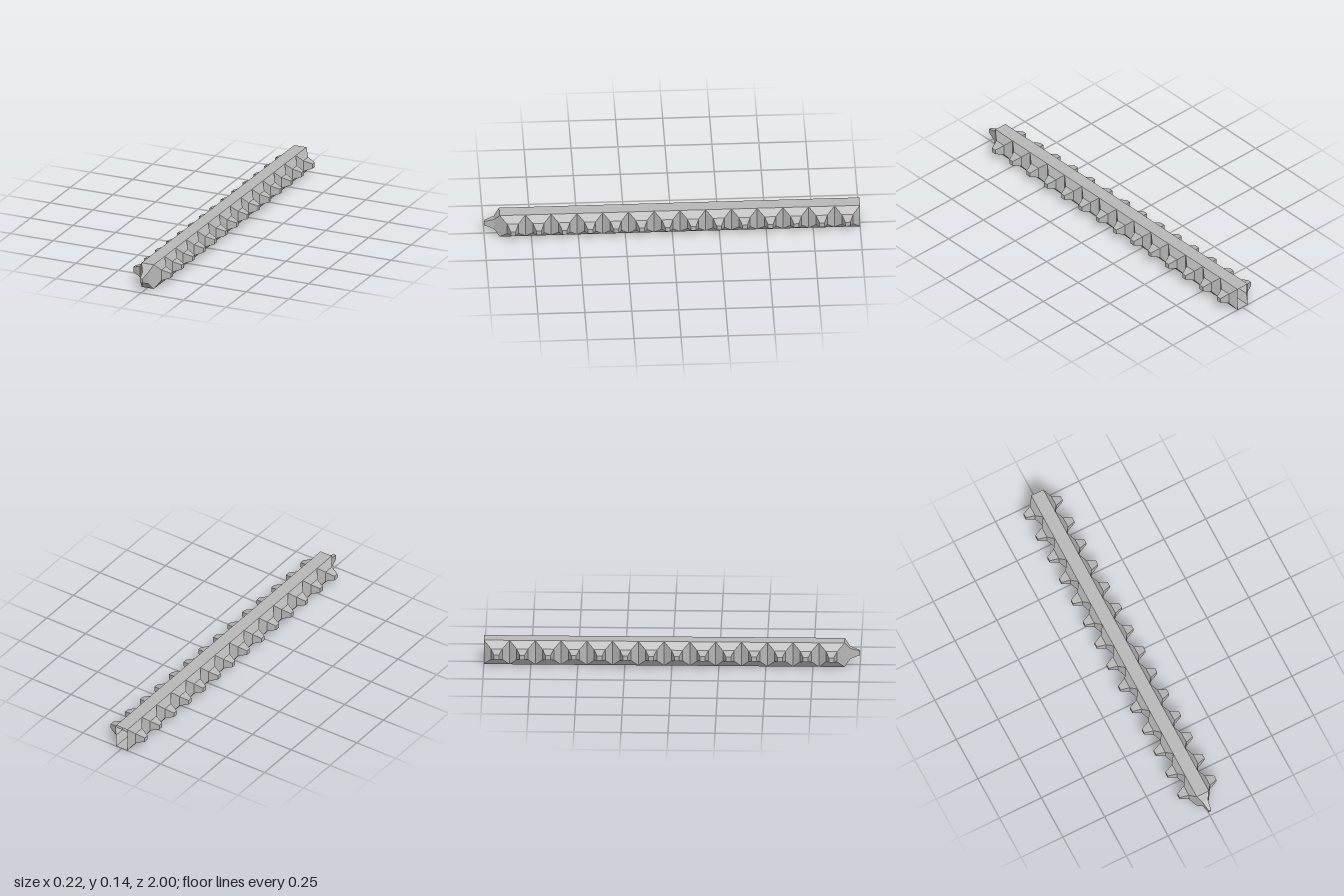
import * as THREE from 'three';

const COUNT = 14, PITCH = 0.137, HALF = PITCH / 2;
const HALF_WIDTH = 0.036, BACK = -1, LENGTH = COUNT * PITCH;

// Hollow stepped spike pointing along +z; rings are [half width, half height, z]
function spikeGeometry(rings) {
  const loops = rings.map(([w, h, z]) => [[-w, -h, z], [w, -h, z], [w, h, z], [-w, h, z]]);
  const pos = [];
  const quad = (a, b, c, d) => pos.push(...a, ...b, ...c, ...a, ...c, ...d);
  for (let k = 0; k < loops.length - 1; k++) {
    for (let i = 0; i < 4; i++) {
      const j = (i + 1) % 4;
      quad(loops[k][i], loops[k][j], loops[k + 1][j], loops[k + 1][i]);
    }
  }
  quad(...loops[loops.length - 1]);
  const g = new THREE.BufferGeometry();
  g.setAttribute('position', new THREE.Float32BufferAttribute(pos, 3));
  g.computeVertexNormals();
  return g;
}

export function createModel() {
  const model = new THREE.Group();
  model.name = 'spikedBar';
  const grey = new THREE.MeshStandardMaterial({ color: 0xb8b8b8, side: THREE.DoubleSide, flatShading: true });
  grey.name = 'grey';

  const add = (name, geometry, x, y, z) => {
    const mesh = new THREE.Mesh(geometry, grey);
    mesh.name = name;
    mesh.position.set(x, y, z);
    model.add(mesh);
    return mesh;
  };

  // Flat top and bottom strips; the back end stays open
  const strip = new THREE.PlaneGeometry(HALF_WIDTH * 2, LENGTH);
  add('topStrip', strip, 0, PITCH, BACK + LENGTH / 2).rotation.x = -Math.PI / 2;
  add('bottomStrip', strip, 0, 0, BACK + LENGTH / 2).rotation.x = Math.PI / 2;

  // Side walls made of a row of spikes
  const sideSpike = spikeGeometry([[HALF, HALF, 0], [0.03, 0.03, 0.027], [0.013, 0.013, 0.074]]);
  for (const side of [-1, 1]) {
    for (let i = 0; i < COUNT; i++) {
      const spike = add(side > 0 ? 'leftSpike' : 'rightSpike', sideSpike,
        side * HALF_WIDTH, HALF, BACK + (i + 0.5) * PITCH);
      spike.rotation.y = side * Math.PI / 2;
    }
  }

  // Narrow spike closing the front end
  add('frontSpike', spikeGeometry([[HALF_WIDTH, HALF, 0], [0.016, 0.03, 0.03], [0.007, 0.012, 0.082]]),
    0, HALF, BACK + LENGTH);

  return model;
}
